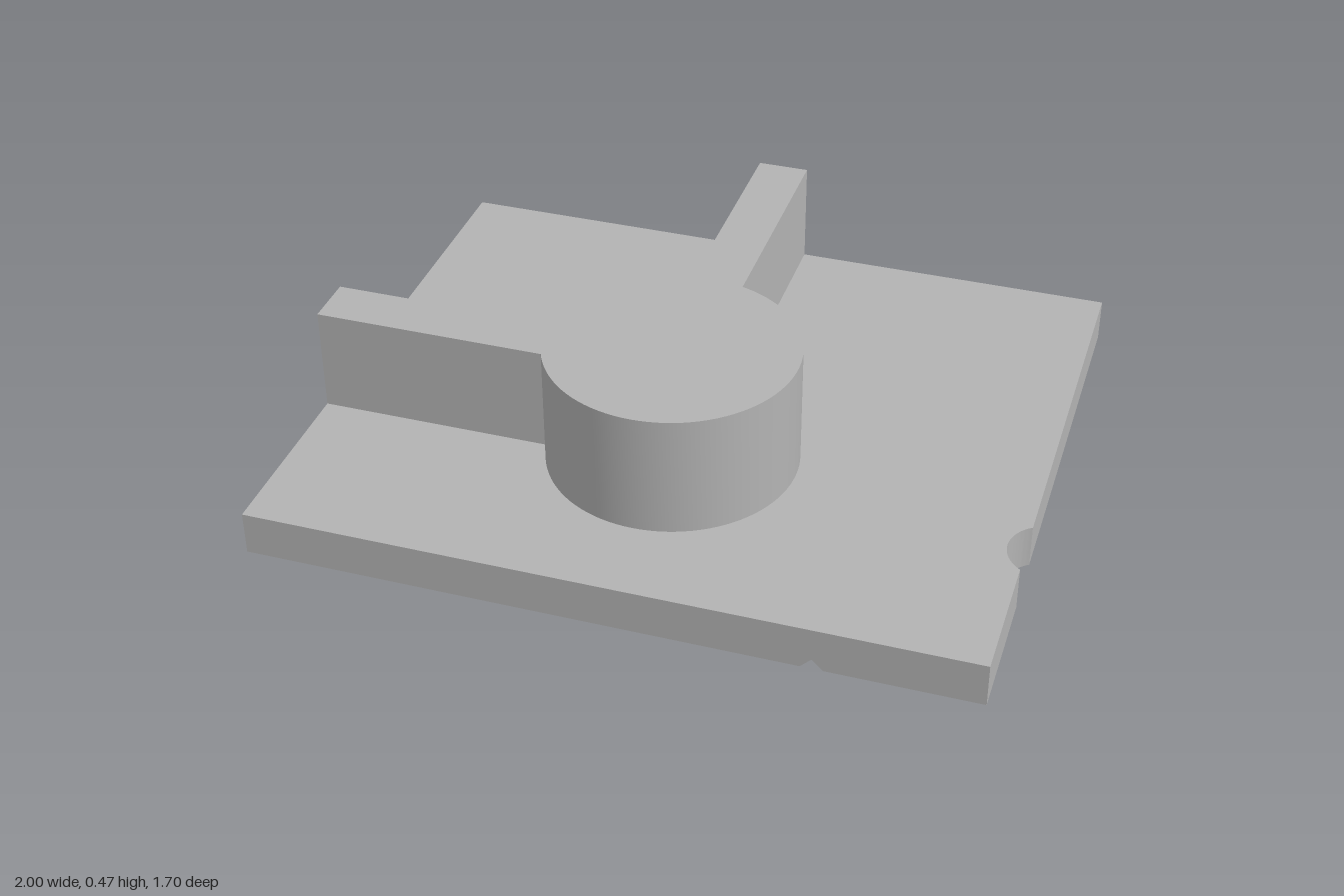
import * as THREE from 'three';
import { toCreasedNormals } from 'three/addons/utils/BufferGeometryUtils.js';

const W = 1, D = 0.85, T = 0.125;          // plate half width, half depth, thickness
const BOSS_Z = 0.25, BOSS_R = 0.348, BOSS_TOP = 0.475, BORE_R = 0.142, BORE_TOP = 0.35;
const RIB_TOP = 0.425, RIB_T = 0.148;
const GROOVE_X = 0.555, GROOVE = 0.03;     // V groove under the plate

export function createModel() {
  const model = new THREE.Group();
  const grey = new THREE.MeshStandardMaterial({ color: 0xb3b3b3 });
  grey.name = 'grey';

  const add = (name, geometry) => {
    const mesh = new THREE.Mesh(geometry, grey);
    mesh.name = name;
    model.add(mesh);
    return mesh;
  };
  // Plan outline (x, -z) raised to the plate thickness
  const slab = (shape) => toCreasedNormals(
    new THREE.ExtrudeGeometry(shape, { depth: T, bevelEnabled: false, curveSegments: 48 })
      .rotateX(-Math.PI / 2), 0.5);
  const outline = (pts) => new THREE.Shape(pts.map(([x, y]) => new THREE.Vector2(x, y)));

  // Main plate with the bore opening
  const x0 = GROOVE_X - GROOVE, x1 = GROOVE_X + GROOVE;
  const main = outline([[-W, -D], [x0, -D], [x0, D], [-W, D]]);
  main.holes.push(new THREE.Path().absarc(0, -BOSS_Z, BORE_R, 0, Math.PI * 2, true));
  add('basePlate', slab(main));

  // Strip with the V groove along its underside
  const strip = outline([[x0, 0], [GROOVE_X, GROOVE], [x1, 0], [x1, T], [x0, T]]);
  add('groovedStrip', new THREE.ExtrudeGeometry(strip, { depth: 2 * D, bevelEnabled: false })
    .translate(0, 0, -D));

  // Side of the plate with the rounded edge notch
  const notchZ = 0.375, r = 0.106, a = Math.asin(0.09 / r);
  const side = new THREE.Shape();
  side.moveTo(x1, -D);
  side.lineTo(W, -D);
  side.lineTo(W, -notchZ - 0.09);
  side.absarc(W + r * Math.cos(a), -notchZ, r, Math.PI + a, Math.PI - a, true);
  side.lineTo(W, D);
  side.lineTo(x1, D);
  side.closePath();
  add('notchedSide', slab(side));

  // Round boss, closed on top, with a blind bore from below
  const profile = [[0, BORE_TOP], [BORE_R, BORE_TOP], [BORE_R, T], [BOSS_R, T],
    [BOSS_R, BOSS_TOP], [0, BOSS_TOP]].map(([x, y]) => new THREE.Vector2(x, y));
  add('boss', toCreasedNormals(new THREE.LatheGeometry(profile, 96), 0.5)).position.z = BOSS_Z;

  // Ribs running from the boss to the plate edges, ending inside the boss wall
  const inner = BOSS_R - 0.03, h = RIB_TOP - T, y = T + h / 2;
  const backLen = D + BOSS_Z - inner, sideLen = W - inner;
  add('backRib', new THREE.BoxGeometry(RIB_T, h, backLen)).position.set(0, y, -D + backLen / 2);
  add('sideRib', new THREE.BoxGeometry(sideLen, h, RIB_T)).position.set(-W + sideLen / 2, y, BOSS_Z - 0.003);

  return model;
}
